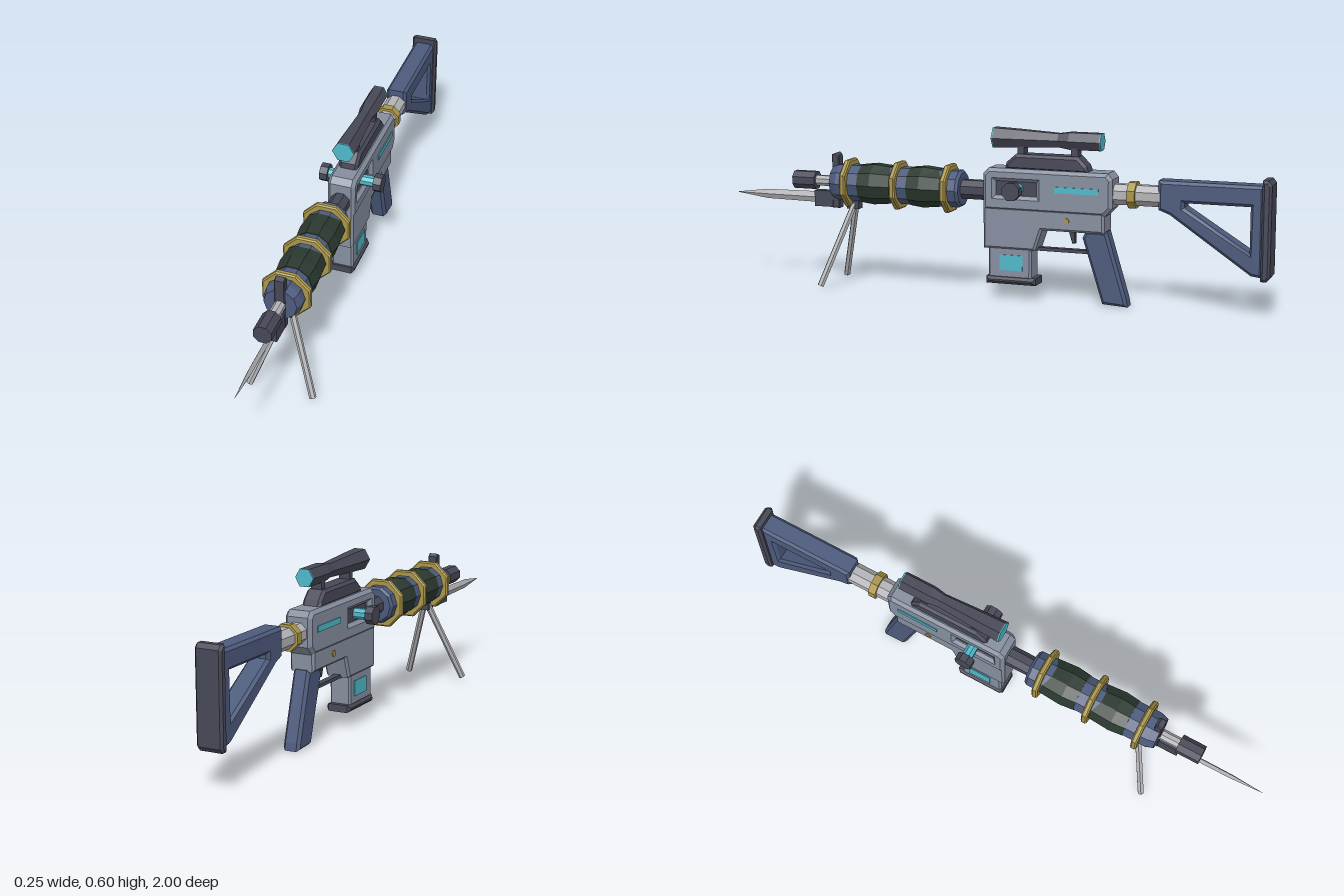
import * as THREE from 'three';

const mat = (name, color) => {
  const m = new THREE.MeshStandardMaterial({ color, flatShading: true });
  m.name = name;
  return m;
};

export function createModel() {
  const M = {
    blue: mat('slate blue', 0x4c5a7c),
    grey: mat('steel grey', 0x868e9f),
    dark: mat('charcoal', 0x474857),
    gold: mat('brass', 0xa99548),
    cyan: mat('cyan', 0x50b8c9),
    light: mat('pale metal', 0xb4b4b8),
    green: mat('dark green', 0x2b392f),
  };
  const model = new THREE.Group();
  const add = (name, geo, m) => {
    const mesh = new THREE.Mesh(geo, m);
    mesh.name = name;
    model.add(mesh);
    return mesh;
  };
  // Box given by its z and y ranges and half width
  const box = (name, m, z0, z1, y0, y1, half, x = 0) =>
    add(name, new THREE.BoxGeometry(half * 2, y1 - y0, z1 - z0), m)
      .position.set(x, (y0 + y1) / 2, (z0 + z1) / 2);
  // Chamfered slab from a side outline of [-z, y] points, anticlockwise
  const slab = (name, m, pts, half, bevel = 0.008, hole = null) => {
    const v = a => a.map(p => new THREE.Vector2(p[0], p[1]));
    const s = new THREE.Shape(v(pts));
    if (hole) s.holes.push(new THREE.Path(v(hole)));
    const geo = new THREE.ExtrudeGeometry(s, {
      depth: 2 * (half - bevel), bevelEnabled: true, bevelSegments: 1,
      bevelThickness: bevel, bevelSize: bevel, bevelOffset: -bevel,
    });
    geo.translate(0, 0, bevel - half).rotateY(Math.PI / 2);
    return add(name, geo, m);
  };
  const rect = (a, b, c, d) => [[a, c], [b, c], [b, d], [a, d]];
  // Faceted turned part along z from [radius, z] points, rising z
  const turned = (name, m, pts, sides, y) => {
    const all = [[0, pts[0][1]], ...pts, [0, pts[pts.length - 1][1]]];
    const geo = new THREE.LatheGeometry(all.map(p => new THREE.Vector2(p[0], p[1])), sides, Math.PI / sides);
    geo.rotateX(Math.PI / 2);
    const mesh = add(name, geo, m);
    mesh.position.y = y;
    return mesh;
  };
  const axis = 0.378;

  // Receiver: wide upper body, narrower lower body, side port
  slab('upperReceiver', M.grey, [[-0.015, 0.315], [0.425, 0.315], [0.452, 0.345], [0.452, 0.445],
    [0.435, 0.465], [0.005, 0.465], [-0.015, 0.445]], 0.05, 0.012, rect(0.03, 0.18, 0.37, 0.42));
  slab('lowerReceiver', M.grey, [[-0.015, 0.18], [0.175, 0.18], [0.2, 0.255], [0.425, 0.255],
    [0.425, 0.33], [-0.015, 0.33]], 0.046, 0.008);
  box('portCore', M.dark, -0.195, -0.015, 0.35, 0.44, 0.034);

  // Charging bolt, side lights and pins, mirrored
  for (const s of [-1, 1]) {
    const rod = (name, m, r, x0, x1, z, y, sides) => {
      const geo = new THREE.CylinderGeometry(r, r, x1 - x0, sides, 1, false, Math.PI / sides);
      geo.rotateZ(Math.PI / 2);
      add(name, geo, m).position.set(s * (x0 + x1) / 2, y, z);
    };
    rod('boltRod', M.cyan, 0.02, 0.03, 0.09, -0.11, 0.395, 8);
    rod('boltKnob', M.dark, 0.033, 0.085, 0.114, -0.11, 0.395, 8);
    rod('receiverPin', M.gold, 0.011, 0.044, 0.05, -0.29, 0.293, 8);
    box('sideLight', M.cyan, -0.405, -0.248, 0.39, 0.411, 0.003, s * 0.05);
    box('magazineWindow', M.cyan, -0.13, -0.045, 0.105, 0.16, 0.003, s * 0.04);
  }

  // Magazine
  slab('magazine', M.grey, rect(0.002, 0.16, 0.075, 0.19), 0.04, 0.007);
  slab('magazineBase', M.dark, rect(-0.005, 0.177, 0.055, 0.081), 0.046, 0.01);

  // Grip, trigger and guard
  slab('grip', M.blue, [[0.415, 0.007], [0.505, 0.002], [0.5, 0.03], [0.43, 0.262],
    [0.355, 0.262], [0.342, 0.235]], 0.031, 0.01);
  box('triggerGuard', M.dark, -0.37, -0.165, 0.177, 0.189, 0.012);
  slab('trigger', M.dark, [[0.3, 0.21], [0.312, 0.21], [0.31, 0.26], [0.285, 0.26]], 0.008, 0.002);

  // Sight rail, mounts and scope
  slab('scopeRail', M.dark, [[0.06, 0.46], [0.365, 0.46], [0.355, 0.485], [0.325, 0.515],
    [0.1, 0.515], [0.065, 0.485]], 0.035, 0.01);
  for (const z of [-0.115, -0.31]) box('scopeMount', M.dark, z - 0.012, z + 0.012, 0.51, 0.55, 0.02);
  turned('scopeTube', M.dark, [[0.034, -0.4], [0.034, -0.29], [0.027, -0.25], [0.036, -0.1], [0.04, -0.015]], 6, 0.567);
  turned('frontLens', M.cyan, [[0.04, -0.015], [0.04, -0.011]], 6, 0.567);
  turned('rearLens', M.cyan, [[0.034, -0.404], [0.034, -0.4]], 6, 0.567);

  // Stock: tube, collar, open triangular frame, butt plate
  turned('stockTube', M.light, [[0.038, -0.63], [0.038, -0.44]], 8, 0.392);
  turned('stockCollar', M.gold, [[0.048, -0.53], [0.048, -0.502]], 8, 0.392);
  slab('stockFrame', M.blue, [[0.61, 0.35], [0.65, 0.335], [0.93, 0.145], [0.97, 0.14], [0.97, 0.45], [0.61, 0.45]],
    0.038, 0.01, [[0.7, 0.362], [0.925, 0.222], [0.925, 0.378], [0.7, 0.378]]);
  slab('buttPlate', M.dark, [[0.965, 0.13], [0.985, 0.13], [0.997, 0.145], [0.997, 0.455],
    [0.985, 0.47], [0.965, 0.47]], 0.048, 0.008);

  // Barrel and handguard
  turned('barrel', M.dark, [[0.036, 0], [0.036, 0.12]], 8, axis);
  turned('handguard', M.blue, [[0.06, 0.105], [0.068, 0.115], [0.068, 0.575], [0.058, 0.603]], 10, axis);
  for (const z of [0.155, 0.348, 0.54]) {
    turned('handguardRing', M.gold, [[0.086, z - 0.011], [0.091, z - 0.006], [0.091, z + 0.006], [0.086, z + 0.011]], 8, axis);
  }
  // Green wraps whose rear edge sweeps back along the sides
  for (const z of [0.2, 0.39]) {
    const wrap = turned('handguardWrap', M.green, [[0.07, z], [0.076, z + 0.05], [0.07, z + 0.1]], 10, axis);
    const p = wrap.geometry.attributes.position;
    for (let i = 0; i < p.count; i++) {
      if (p.getZ(i) < z + 0.01) p.setZ(i, z - 0.035 * Math.abs(p.getX(i)) / 0.07);
    }
    wrap.geometry.computeVertexNormals();
  }

  // Muzzle, front sight plate and spike
  turned('muzzleRod', M.light, [[0.02, 0.59], [0.02, 0.69]], 8, axis);
  turned('muzzle', M.dark, [[0.034, 0.675], [0.034, 0.762]], 8, axis);
  slab('frontSightPlate', M.dark, [[-0.608, 0.283], [-0.58, 0.283], [-0.58, 0.475], [-0.59, 0.485], [-0.608, 0.478]], 0.018, 0.003);
  box('spikeHolder', M.dark, 0.6, 0.68, 0.285, 0.343, 0.016);
  const spike = turned('spike', M.light, [[0.02, 0.66], [0.017, 0.88], [0.001, 1]], 4, 0);
  spike.geometry.rotateZ(Math.PI / 4).scale(0.45, 1, 1);
  spike.position.y = 0.317;

  // Bipod
  box('bipodMount', M.dark, 0.505, 0.55, 0.283, 0.32, 0.018);
  for (const s of [-1, 1]) {
    const top = new THREE.Vector3(s * 0.008, 0.3, 0.525), foot = new THREE.Vector3(s * 0.113, 0.012, 0.615);
    const dir = top.clone().sub(foot);
    const leg = add('bipodLeg', new THREE.CylinderGeometry(0.012, 0.012, dir.length(), 6), M.light);
    leg.position.copy(top).add(foot).multiplyScalar(0.5);
    leg.quaternion.setFromUnitVectors(new THREE.Vector3(0, 1, 0), dir.normalize());
  }
  return model;
}
